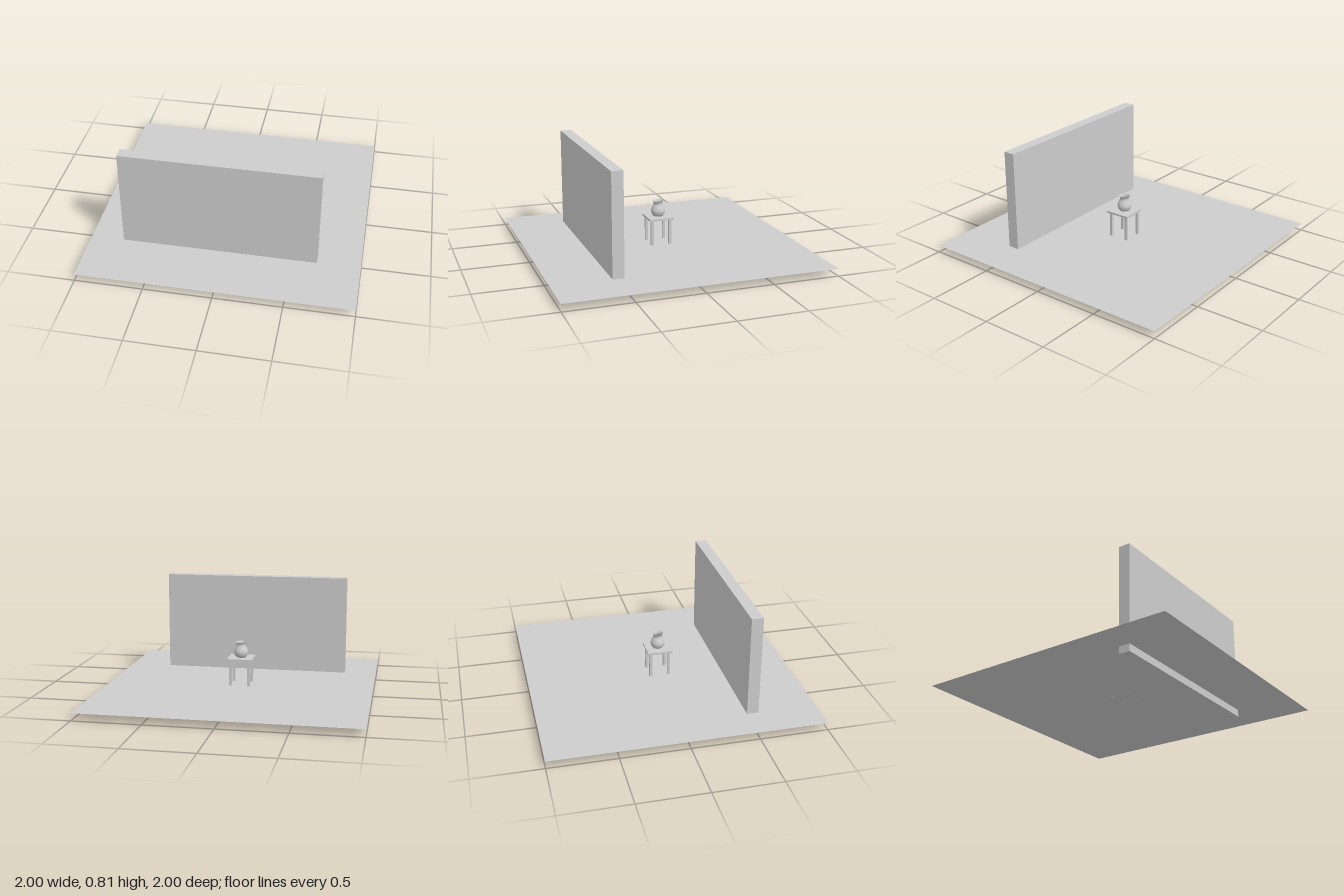
import * as THREE from 'three';

export function createModel() {
  const group = new THREE.Group();
  const grey = new THREE.MeshStandardMaterial({ color: 0xcccccc, side: THREE.DoubleSide });
  grey.name = 'plain grey';

  const add = (name, geometry, x, y, z, parent = group) => {
    const mesh = new THREE.Mesh(geometry, grey);
    mesh.name = name;
    mesh.position.set(x, y, z);
    parent.add(mesh);
    return mesh;
  };

  // Thin floor sheet, with the wall sunk a little through it
  add('floor', new THREE.PlaneGeometry(2, 2).rotateX(-Math.PI / 2), 0, 0.055, 0);
  add('wall', new THREE.BoxGeometry(1.44, 0.814, 0.086), -0.035, 0.407, 0.522);

  // Square table with four legs
  const table = new THREE.Group();
  table.name = 'table';
  group.add(table);
  add('tableTop', new THREE.BoxGeometry(0.188, 0.016, 0.188), 0, 0.254, 0, table);
  const legGeometry = new THREE.BoxGeometry(0.02, 0.194, 0.02);
  for (const x of [-0.07, 0.07]) {
    for (const z of [-0.07, 0.07]) add('tableLeg', legGeometry, x, 0.149, z, table);
  }

  // Open vase: closed foot, round belly, narrow neck and flared rim
  const side = new THREE.SplineCurve([
    [0.034, 0], [0.045, 0.012], [0.052, 0.03], [0.053, 0.045], [0.047, 0.065],
    [0.037, 0.085], [0.034, 0.098], [0.037, 0.11], [0.042, 0.118],
  ].map(([r, y]) => new THREE.Vector2(r, y)));
  add('vase', new THREE.LatheGeometry(side.getPoints(24), 32), 0, 0.262, 0);
  add('vaseBase', new THREE.CircleGeometry(0.034, 32).rotateX(-Math.PI / 2), 0, 0.263, 0);

  return group;
}
